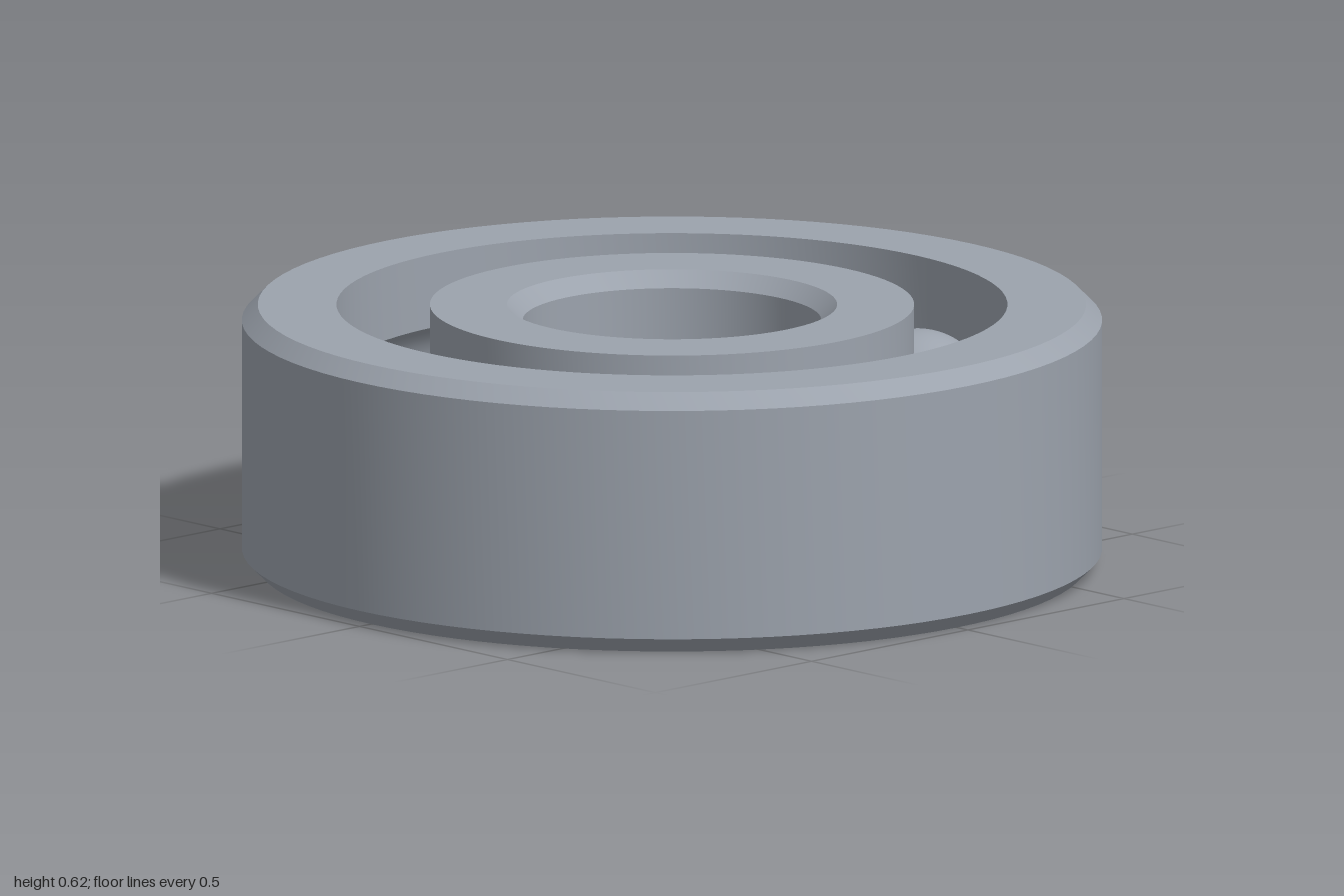
import * as THREE from 'three';
import { toCreasedNormals } from 'three/addons/utils/BufferGeometryUtils.js';

const HEIGHT = 0.617, MID = HEIGHT / 2, CHAMFER = 0.037;
const OUTER_R = 1, OUTER_INNER_R = 0.78;      // outer ring
const INNER_R = 0.563, BORE_R = 0.347;        // inner ring
const PITCH_R = (OUTER_INNER_R + INNER_R) / 2;
const BALL_R = 0.171, GROOVE_R = 0.173;
const BALLS = 8, START = THREE.MathUtils.degToRad(11.7);

// Arc of the ball groove between two angles around the pitch circle
function groove(from, to, steps = 14) {
  const points = [];
  for (let i = 0; i <= steps; i++) {
    const a = from + (to - from) * i / steps;
    points.push([PITCH_R + GROOVE_R * Math.cos(a), MID + GROOVE_R * Math.sin(a)]);
  }
  return points;
}

// Turns a closed profile, listed counter-clockwise, into a ring
function ring(name, profile, material) {
  const points = [...profile, profile[0]].map(([x, y]) => new THREE.Vector2(x, y));
  const geometry = toCreasedNormals(new THREE.LatheGeometry(points, 96), Math.PI / 6);
  const mesh = new THREE.Mesh(geometry, material);
  mesh.name = name;
  return mesh;
}

export function createModel() {
  const steel = new THREE.MeshStandardMaterial({ color: 0x9ca3ad });
  steel.name = 'steel';
  const group = new THREE.Group();
  group.name = 'ballBearing';

  // Half angle at which the groove meets the ring walls
  const half = Math.acos((OUTER_INNER_R - PITCH_R) / GROOVE_R);

  // Outer ring: chamfered outside, grooved inside
  group.add(ring('outerRing', [
    [OUTER_R - CHAMFER, 0], [OUTER_R, CHAMFER],
    [OUTER_R, HEIGHT - CHAMFER], [OUTER_R - CHAMFER, HEIGHT],
    [OUTER_INNER_R, HEIGHT], ...groove(half, -half), [OUTER_INNER_R, 0],
  ], steel));

  // Inner ring: grooved outside, chamfered bore
  group.add(ring('innerRing', [
    [INNER_R, 0], ...groove(Math.PI + half, Math.PI - half), [INNER_R, HEIGHT],
    [BORE_R + CHAMFER, HEIGHT], [BORE_R, HEIGHT - CHAMFER],
    [BORE_R, CHAMFER], [BORE_R + CHAMFER, 0],
  ], steel));

  // Balls spaced evenly around the pitch circle
  const balls = new THREE.Group();
  balls.name = 'balls';
  const ballGeometry = new THREE.SphereGeometry(BALL_R, 48, 32);
  for (let i = 0; i < BALLS; i++) {
    const a = START + i * Math.PI * 2 / BALLS;
    const ball = new THREE.Mesh(ballGeometry, steel);
    ball.name = 'ball' + (i + 1);
    ball.position.set(PITCH_R * Math.cos(a), MID, PITCH_R * Math.sin(a));
    balls.add(ball);
  }
  group.add(balls);
  return group;
}
